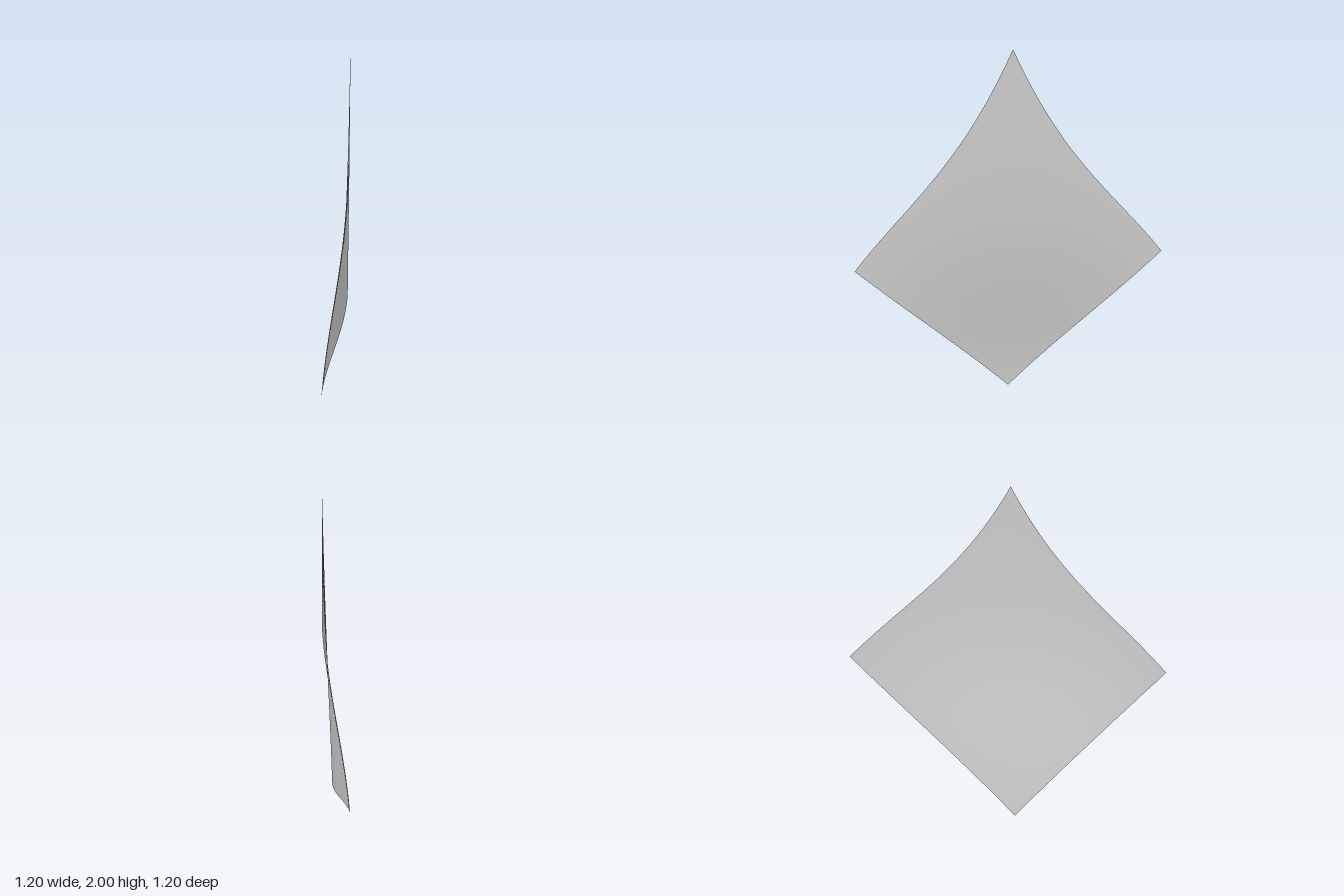
import * as THREE from 'three';
import { ParametricGeometry } from 'three/addons/geometries/ParametricGeometry.js';

// Edge points as (across, height, depth) in the sheet's own diagonal frame.
// t runs from the tip (0) to a side corner (1); side is +1 or -1.
function lowerEdge(t, side) {
  const k = t * (1 - t);
  return new THREE.Vector3(side * 0.6 * t, 0.85 * t + 0.03 * k, 0.1 * (1 - t) + k * (0.06 - 0.15 * t));
}
function upperEdge(t, side) {
  const k = t * (1 - t);
  return new THREE.Vector3(side * 0.6 * t, 2 - 1.15 * t - k * (0.68 - 0.6 * t), -0.015 * (1 - t));
}

const bottom = lowerEdge(0, 1), top = upperEdge(0, 1);
const right = lowerEdge(1, 1), left = lowerEdge(1, -1);

// Patch blended between the four curved edges
function sheetPoint(s, v, target) {
  const p = new THREE.Vector3()
    .addScaledVector(lowerEdge(s, 1), 1 - v)
    .addScaledVector(upperEdge(1 - s, -1), v)
    .addScaledVector(lowerEdge(v, -1), 1 - s)
    .addScaledVector(upperEdge(1 - v, 1), s)
    .addScaledVector(bottom, -(1 - s) * (1 - v))
    .addScaledVector(right, -s * (1 - v))
    .addScaledVector(left, -(1 - s) * v)
    .addScaledVector(top, -s * v);
  // turn onto the x = z diagonal
  target.set(p.x - p.z, p.y, p.x + p.z);
}

export function createModel() {
  const group = new THREE.Group();
  const material = new THREE.MeshStandardMaterial({ color: 0xcccccc, side: THREE.DoubleSide });
  const sheet = new THREE.Mesh(new ParametricGeometry(sheetPoint, 32, 32), material);
  sheet.name = 'curvedSheet';
  group.add(sheet);
  return group;
}
